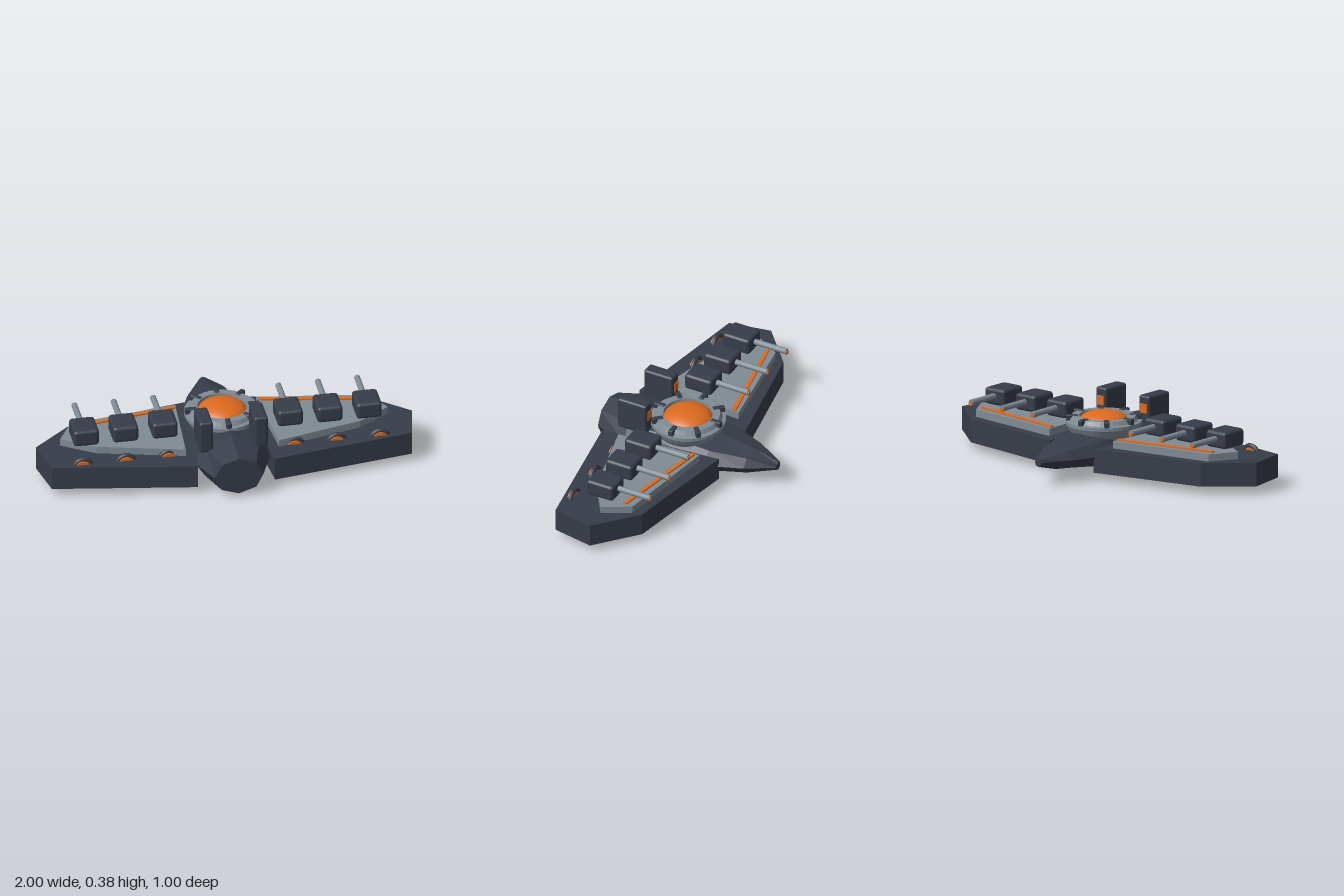
import * as THREE from 'three';
import { RoundedBoxGeometry } from 'three/addons/geometries/RoundedBoxGeometry.js';

const material = (name, color) => {
  const m = new THREE.MeshStandardMaterial({ color });
  m.name = name;
  return m;
};

// Faceted hull: eight-sided rings joined along z, capped at both ends
function hullGeometry(sections, sides = 8) {
  const points = [], index = [];
  for (const [z, rx, ry, cy] of sections) {
    for (let i = 0; i < sides; i++) {
      const a = (i / sides) * Math.PI * 2;
      points.push(rx * Math.cos(a), cy + ry * Math.sin(a), z);
    }
  }
  for (let s = 0; s < sections.length - 1; s++) {
    for (let i = 0; i < sides; i++) {
      const a = s * sides + i, b = s * sides + (i + 1) % sides;
      index.push(a, b, b + sides, a, b + sides, a + sides);
    }
  }
  const last = (sections.length - 1) * sides;
  for (let i = 1; i < sides - 1; i++) {
    index.push(0, i + 1, i);
    index.push(last, last + i, last + i + 1);
  }
  const geometry = new THREE.BufferGeometry();
  geometry.setAttribute('position', new THREE.Float32BufferAttribute(points, 3));
  geometry.setIndex(index);
  const flat = geometry.toNonIndexed();
  flat.computeVertexNormals();
  return flat;
}

// Flat slab from an (x, z) outline, mirrored by side
function slab(outline, side, bottom, top) {
  const shape = new THREE.Shape(outline.map(([x, z]) => new THREE.Vector2(x * side, -z)));
  const geometry = new THREE.ExtrudeGeometry(shape, { depth: top - bottom, bevelEnabled: false });
  return geometry.rotateX(-Math.PI / 2).translate(0, bottom, 0);
}

export function createModel() {
  const dark = material('dark hull', 0x363c49);
  const grey = material('grey plating', 0x7f8b94);
  const orange = material('orange glow', 0xdc6a1e);

  const model = new THREE.Group();
  model.name = 'gunship';
  const add = (name, geometry, mat, x = 0, y = 0, z = 0, parent = model) => {
    const mesh = new THREE.Mesh(geometry, mat);
    mesh.name = name;
    mesh.position.set(x, y, z);
    parent.add(mesh);
    return mesh;
  };

  // Central hull: z, half width, half height, centre height
  add('hull', hullGeometry([
    [-0.5, 0.022, 0.024, 0.126],
    [-0.355, 0.112, 0.063, 0.127],
    [-0.16, 0.188, 0.088, 0.128],
    [0.31, 0.205, 0.128, 0.128],
    [0.5, 0.13, 0.104, 0.127],
  ]), dark);

  // Turret ring around the dome
  const ringProfile = [
    [0.165, 0.18], [0.185, 0.21], [0.2, 0.24], [0.2, 0.258], [0.18, 0.262],
    [0.168, 0.284], [0.13, 0.284], [0.125, 0.25],
  ].map(([r, y]) => new THREE.Vector2(r, y));
  const ring = new THREE.LatheGeometry(ringProfile, 32).toNonIndexed();
  ring.computeVertexNormals();
  add('turretRing', ring, grey, 0, 0, 0.035);

  // Flattened dome
  const dome = new THREE.SphereGeometry(0.13, 32, 10, 0, Math.PI * 2, 0, Math.PI / 2);
  add('dome', dome.scale(1, 0.43, 1), orange, 0, 0.253, 0.035);

  // Clamps spaced around the ring
  const clampGeometry = new RoundedBoxGeometry(0.028, 0.035, 0.062, 2, 0.006);
  for (let i = 0; i < 8; i++) {
    const a = (i / 8) * Math.PI * 2;
    const clamp = add('ringClamp', clampGeometry, dark,
      Math.sin(a) * 0.167, 0.272, 0.035 + Math.cos(a) * 0.167);
    clamp.rotation.y = a;
  }

  const wingOutline = [[0.15, -0.228], [0.78, -0.112], [1, 0.08], [0.958, 0.306], [0.205, 0.432]];
  const plateOutline = [[0.215, -0.148], [0.79, -0.06], [0.872, 0.085], [0.7, 0.2], [0.248, 0.315]];
  const stripOutline = [[0.225, -0.128], [0.785, -0.025], [0.785, -0.005], [0.225, -0.106]];

  const gunBox = new RoundedBoxGeometry(0.135, 0.09, 0.16, 3, 0.018);
  const gunFoot = new THREE.CylinderGeometry(0.04, 0.045, 0.03, 16);
  const barrel = new THREE.CylinderGeometry(0.016, 0.016, 0.22, 12).rotateX(Math.PI / 2);
  const muzzle = new THREE.CylinderGeometry(0.012, 0.012, 0.026, 12).rotateX(Math.PI / 2);
  const ventRim = new THREE.TorusGeometry(0.048, 0.013, 8, 24);
  const ventCore = new THREE.CylinderGeometry(0.043, 0.043, 0.03, 24).rotateX(Math.PI / 2);

  for (const side of [1, -1]) {
    const wing = new THREE.Group();
    wing.name = side > 0 ? 'leftWing' : 'rightWing';
    model.add(wing);
    add('wingSlab', slab(wingOutline, side, 0.044, 0.17), dark, 0, 0, 0, wing);
    add('deckPlate', slab(plateOutline, side, 0.165, 0.209), grey, 0, 0, 0, wing);
    add('glowStrip', slab(stripOutline, side, 0.209, 0.217), orange, 0, 0, 0, wing);

    // Guns facing the nose
    for (const x of [0.333, 0.543, 0.752]) {
      const gun = new THREE.Group();
      gun.name = 'gun';
      gun.position.set(x * side, 0, 0);
      wing.add(gun);
      add('gunHousing', gunBox, dark, 0, 0.263, 0.122, gun);
      add('gunFoot', gunFoot, grey, 0, 0.214, 0.122, gun);
      add('barrel', barrel, grey, 0, 0.268, -0.035, gun);
      add('muzzleGlow', muzzle, orange, 0, 0.262, -0.137, gun);
    }

    // Half-sunk vents along the trailing edge
    for (const x of [0.335, 0.56, 0.79]) {
      add('ventRim', ventRim, dark, x * side, 0.145, 0.287, wing);
      add('ventGlow', ventCore, orange, x * side, 0.145, 0.292, wing);
    }

    // Upright fin with a glowing panel facing the dome
    add('fin', new RoundedBoxGeometry(0.073, 0.18, 0.172, 3, 0.014), dark, 0.146 * side, 0.291, 0.272);
    add('finPanel', new THREE.BoxGeometry(0.044, 0.05, 0.008), orange, 0.146 * side, 0.313, 0.185);
  }
  return model;
}
